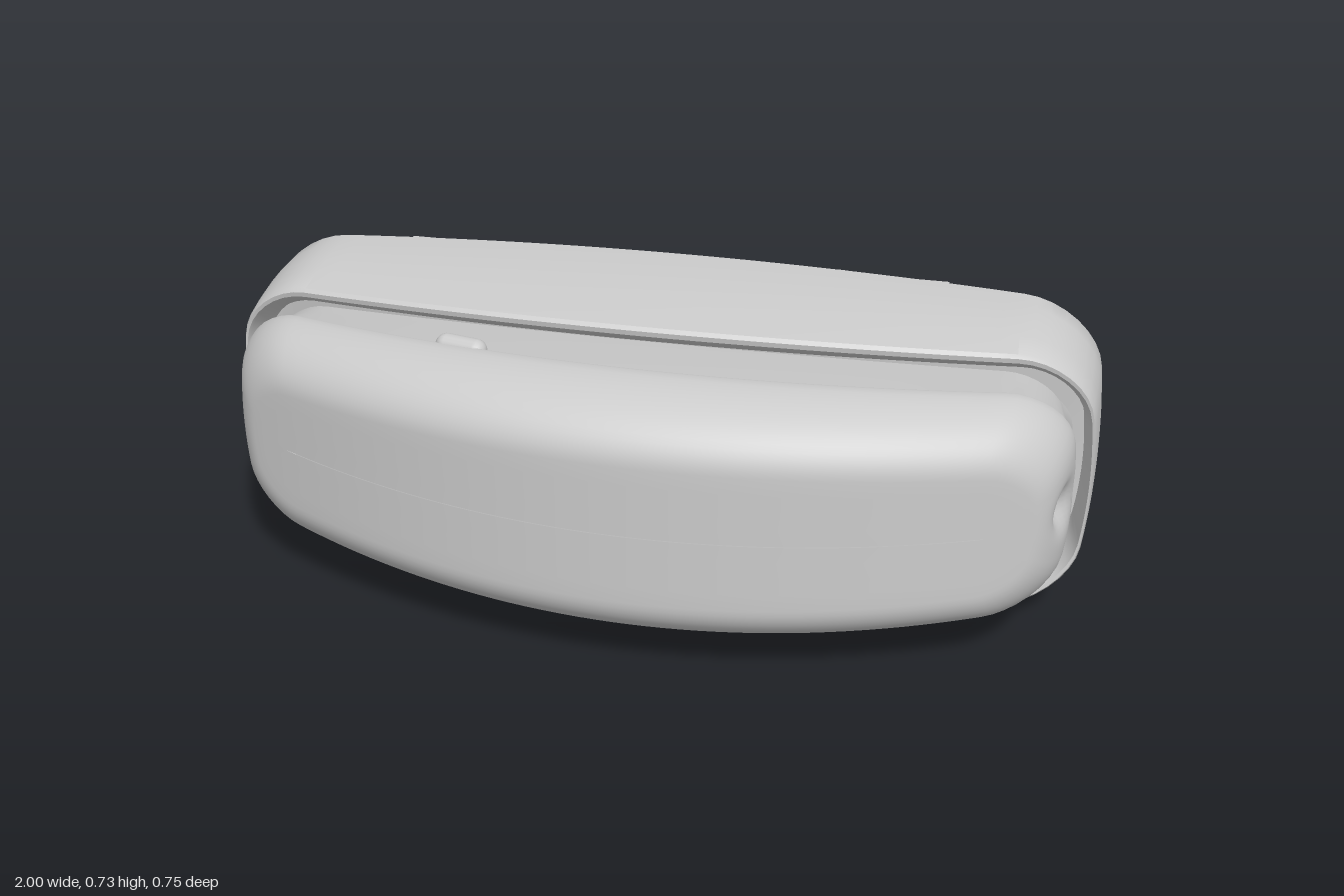
import * as THREE from 'three';
import { toCreasedNormals } from 'three/addons/utils/BufferGeometryUtils.js';

const MID = 0.365;
const grey = new THREE.MeshStandardMaterial({ color: 0xcccccc });

// Rounded rectangle, counter-clockwise, whose long and short sides bulge outwards.
function ring(a, b, radius, bowY = 0, bowX = 0, long = 40, short = 20) {
  const r = Math.min(radius, a, b), pts = [];
  const corner = (q, t) => {
    const sx = q === 0 || q === 3 ? 1 : -1, sy = q < 2 ? 1 : -1;
    const ang = (q + t) * Math.PI / 2;
    return new THREE.Vector2(sx * (a - r) + r * Math.cos(ang), sy * (b - r) + r * Math.sin(ang));
  };
  for (let q = 0; q < 4; q++) {
    for (let i = 0; i <= 8; i++) pts.push(corner(q, i / 8));
    const end = corner(q, 1), next = corner((q + 1) % 4, 0), n = q % 2 ? short : long;
    for (let i = 1; i < n; i++) pts.push(end.clone().lerp(next, i / n));
  }
  return pts.map(p => new THREE.Vector2(
    p.x * (1 - bowX * (p.y / b) ** 2), p.y * (1 - bowY * (p.x / a) ** 2)));
}

// Skin through rings listed from back to front; z is a function of x.
function loft(rows, crease, warp) {
  const pos = [], idx = [], n = rows[0].pts.length;
  for (const { pts, z, cx = 0, cy = MID } of rows) for (const p of pts) {
    const v = new THREE.Vector3(p.x + cx, p.y + cy, z(p.x + cx));
    if (warp) warp(v);
    pos.push(v.x, v.y, v.z);
  }
  for (let i = 0; i < rows.length - 1; i++) for (let j = 0; j < n; j++) {
    const k = (j + 1) % n, a = i * n + j, b = i * n + k, c = b + n, d = a + n;
    idx.push(a, b, c, a, c, d);
  }
  const g = new THREE.BufferGeometry();
  g.setAttribute('position', new THREE.Float32BufferAttribute(pos, 3));
  g.setIndex(idx);
  return toCreasedNormals(g, crease);
}

const rimZ = x => 0.055 - 0.135 * x * x;
const seamZ = x => 0.18 - 0.23 * (x - 0.05) ** 2;
const frontZ = x => 0.377 - 0.29 * (x - 0.05) ** 2;

function shellGeometry() {
  const row = (d, z) => ({ pts: ring(1 - 0.35 * d, 0.365 - d, 0.17 - d * 0.5, 0.1, 0.035), z });
  const between = t => x => -0.25 + (rimZ(x) - 0.008 + 0.25) * t;
  return loft([
    row(0.1, () => -0.325), row(0.008, () => -0.325), row(0.002, () => -0.318), row(0, between(0)),
    row(0.003, between(0.33)), row(0.01, between(0.66)), row(0.022, between(1)),
    row(0.03, rimZ), row(0.042, x => rimZ(x) - 0.002), row(0.05, x => rimZ(x) - 0.012),
    row(0.085, x => rimZ(x) - 0.07), row(0.095, x => rimZ(x) - 0.11), row(0.16, x => rimZ(x) - 0.115),
  ], 0.6);
}

function coverGeometry() {
  const B = 0.295, R = 0.13;
  const row = (d, z) => ({
    pts: ring(0.962 - 0.6 * d, B - d, Math.max(0.14 - 0.4 * d, 0.02), 0.16, 0.03), z, cx: -0.01, cy: 0.375,
  });
  const rows = [
    row(0.05, x => rimZ(x) - 0.13), row(0.035, x => rimZ(x) - 0.05),
    row(0.012, x => seamZ(x) - 0.012), row(0.003, x => seamZ(x) - 0.01),
  ];
  for (let i = 0; i <= 14; i++) {
    const t = i / 14 * Math.PI / 2;
    rows.push(row(R * (1 - Math.cos(t)), x => seamZ(x) + (frontZ(x) - seamZ(x)) * Math.sin(t)));
  }
  for (let i = 1; i <= 4; i++) rows.push(row(R + (B - R - 0.001) * i / 4, frontZ));
  // Thumb dimple in the end wall
  return loft(rows, 0.6, v => {
    if (v.x > 0.8) v.x -= 0.04 * Math.exp(-(((v.y - 0.385) / 0.045) ** 2) - ((v.z - 0.07) / 0.045) ** 2);
  });
}

export function createModel() {
  const model = new THREE.Group();
  const add = (name, geometry, x = 0, y = 0, z = 0, parent = model) => {
    const m = new THREE.Mesh(geometry, grey);
    m.name = name;
    m.position.set(x, y, z);
    parent.add(m);
    return m;
  };
  const box = (name, w, h, d, x, y, z) => add(name, new THREE.BoxGeometry(w, h, d), x, MID + y, z);
  // Flat part facing the back, from z0 (rear) forwards by depth
  const slab = (name, pts, holes, x, y, z0, depth, bevel = 0) => {
    const s = new THREE.Shape(pts);
    s.holes = holes.map(h => new THREE.Path(h));
    const g = new THREE.ExtrudeGeometry(s, {
      depth: depth - bevel, bevelEnabled: bevel > 0, bevelSize: bevel, bevelThickness: bevel,
      bevelOffset: -bevel, bevelSegments: 2,
    });
    return add(name, toCreasedNormals(g, 0.6), x, MID + y, z0 + bevel);
  };
  const peg = (name, r, x, y, z0, z1, hole = 0) => {
    const profile = [[hole, z1 - z0], [r, z1 - z0], [r, 0.006], [r - 0.006, 0], [hole, 0]];
    if (hole) profile.push([hole, 0.06], [0, 0.06]);
    const g = new THREE.LatheGeometry(profile.map(p => new THREE.Vector2(...p)), 28);
    g.rotateX(Math.PI / 2);
    const m = add(name, toCreasedNormals(g, 0.5), x, MID + y, z0);
    m.material = pegMaterial;
    return m;
  };
  const pegMaterial = new THREE.MeshStandardMaterial({ color: 0xcccccc, side: THREE.DoubleSide });

  add('housingShell', shellGeometry());
  add('frontCover', coverGeometry());

  // Small catch on top of the cover
  const catchGeo = new THREE.CapsuleGeometry(0.026, 0.07, 6, 16);
  catchGeo.rotateZ(Math.PI / 2);
  add('coverCatch', catchGeo, -0.39, 0.648, 0.11).rotation.y = -0.2;

  // Back plate with its open recess and a slot at each end
  const moved = (pts, x) => pts.map(p => new THREE.Vector2(p.x + x, p.y));
  const slots = [-1, 1].map(s => moved(ring(0.035, 0.025, 0.01, 0, 0, 1, 1), s * 0.925));
  slab('backPlate', ring(0.975, 0.335, 0.15, 0.1, 0.035),
    [ring(0.71, 0.255, 0.03, 0, 0, 1, 1), ...slots], 0, 0, -0.365, 0.125, 0.01);
  box('recessFloor', 1.5, 0.56, 0.02, 0, 0, -0.235);

  for (const s of [-1, 1]) {
    // Feet, end clips and inner ledges
    for (const t of [-1, 1]) {
      peg('foot', 0.045, s * 0.85, t * 0.18, -0.378, -0.355);
      box('endClip', 0.025, 0.02, 0.045, s * 0.972, t * 0.035, -0.345);
    }
    box('recessLedge', 0.08, 0.5, 0.06, s * 0.67, 0, -0.26);
    // Tabs along the long edges
    for (const x of [-0.6, -0.36, -0.11, 0.1, 0.34, 0.58])
      box('edgeTab', 0.1, 0.03, 0.02, x, s * (0.327 - 0.031 * x * x), -0.352);
    // Rails joining the two wall mounts
    box('recessRail', 0.62, 0.022, 0.08, 0.06, s * 0.085, -0.285);
    box('innerRail', 0.5, 0.014, 0.05, 0.06, s * 0.03, -0.265);
    box('sideRib', 1.26, 0.015, 0.04, 0, s * 0.2, -0.25);

    // Keyhole mounts, each with a diagonal pair of lobes
    const cx = s > 0 ? 0.47 : -0.41, keyhole = [];
    for (let i = 0; i <= 20; i++) {
      const a = 0.45 + (Math.PI * 2 - 0.9) * i / 20;
      keyhole.push(new THREE.Vector2(0.03 + 0.046 * Math.cos(a), 0.046 * Math.sin(a)));
    }
    for (let i = 0; i <= 8; i++) {
      const a = -Math.PI / 2 + Math.PI * i / 8;
      keyhole.push(new THREE.Vector2(0.11 + 0.02 * Math.cos(a), 0.02 * Math.sin(a)));
    }
    slab('keyholeMount', ring(0.16, 0.1, 0.08, 0, 0, 2, 2),
      [keyhole.map(p => new THREE.Vector2(p.x - 0.05, p.y))], cx, 0, -0.335, 0.1);
    for (const t of [-1, 1]) {
      const lobe = slab('mountLobe', ring(0.055, 0.08, 0.055, 0, 0, 2, 2), [],
        cx + t * 0.115, t * 0.115, -0.336, 0.1);
      lobe.rotation.z = -0.25;
    }
    // Screw posts and half-round posts against the long walls
    peg('screwPost', 0.045, s * 0.59, -s * 0.205, -0.345, -0.235, 0.022);
    peg('wallPost', 0.045, s > 0 ? 0.25 : -0.1, s * 0.23, -0.35, -0.235);
  }
  return model;
}
